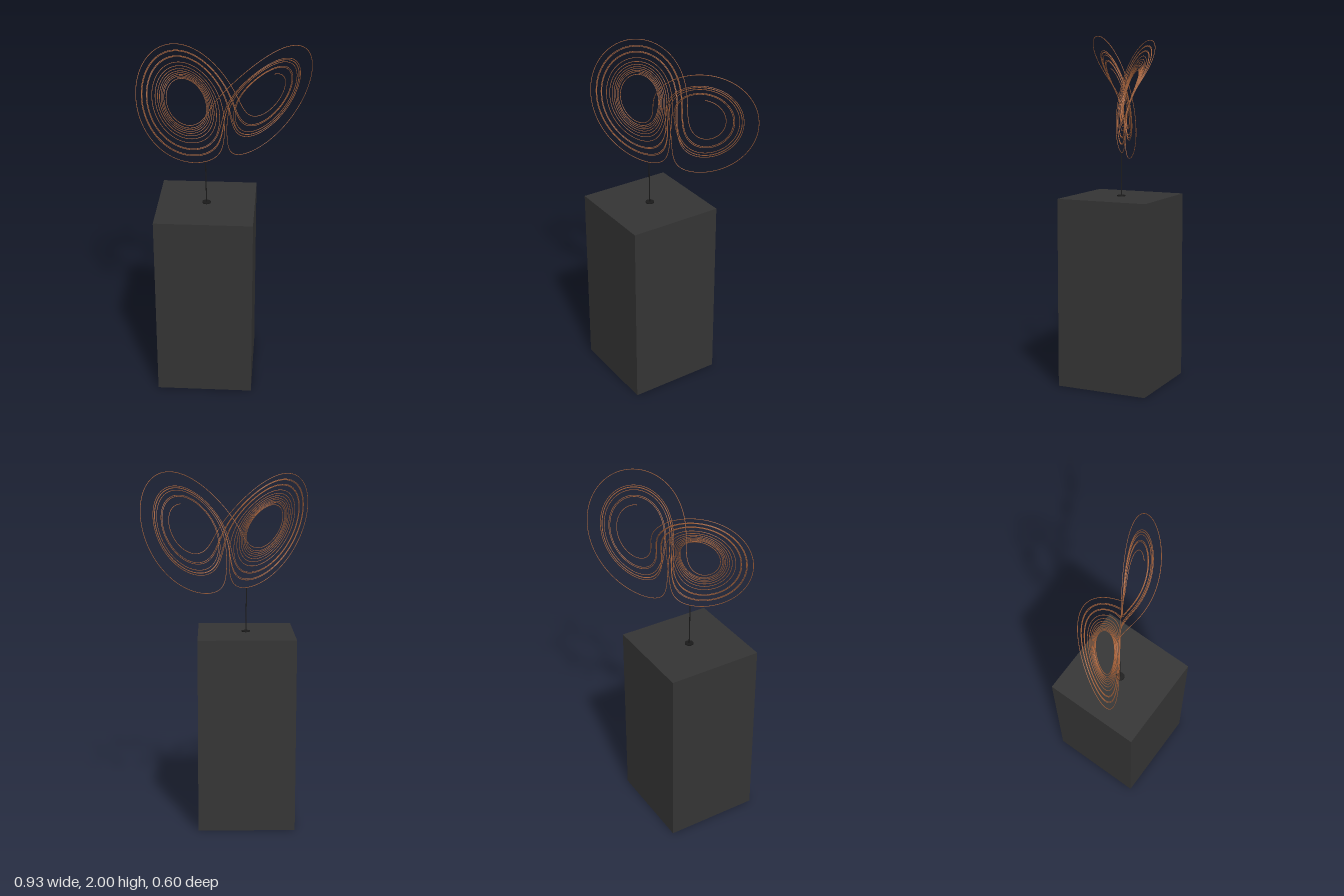
import * as THREE from 'three';

const mat = (name, color, side = THREE.FrontSide) =>
  Object.assign(new THREE.MeshStandardMaterial({ color, side }), { name });

// One Runge-Kutta step of the two-lobed chaotic flow
const DT = 0.01;
const flow = ([x, y, z]) => [10 * (y - x), x * (28 - z) - y, x * y - (8 / 3) * z];
const push = (s, d, t) => [s[0] + d[0] * t, s[1] + d[1] * t, s[2] + d[2] * t];
function step(s) {
  const a = flow(s);
  const b = flow(push(s, a, DT / 2));
  const c = flow(push(s, b, DT / 2));
  const d = flow(push(s, c, DT));
  return s.map((v, i) => v + (DT / 6) * (a[i] + 2 * b[i] + 2 * c[i] + d[i]));
}

// Heights of the loop tops wanted on each lobe, in flow units
const LEFT_TOPS = [33.4, 33.8, 34.3, 34.8, 35.4, 36, 36.7, 37.4, 39.5, 40.3, 41.7, 43.2, 43.6, 44.1];
const RIGHT_TOPS = [35.3, 35.8, 36.6, 37.4, 39.5, 39.8, 39.9, 44.1];

// Follow the flow for a long time and pick the stretch that best has these loops
function findStretch() {
  const tops = [];
  let s = [1, 1, 20], rising = false;
  for (let n = 0; n < 2000000; n++) {
    const next = step(s);
    if (rising && next[2] < s[2] && n > 3000) tops.push({ n, s });
    rising = next[2] > s[2];
    s = next;
  }
  const count = LEFT_TOPS.length + RIGHT_TOPS.length;
  const miss = (heights, wanted) => heights.sort((a, b) => a - b)
    .reduce((sum, h, i) => sum + (h - wanted[i]) ** 2, 0);
  let best = { score: Infinity };
  for (let i = 0; i + count <= tops.length; i++) {
    const loops = tops.slice(i, i + count);
    for (const sign of [1, -1]) {
      const left = loops.filter((t) => t.s[0] * sign < 0).map((t) => t.s[2]);
      if (left.length !== LEFT_TOPS.length) continue;
      const right = loops.filter((t) => t.s[0] * sign > 0).map((t) => t.s[2]);
      const score = miss(left, LEFT_TOPS) + miss(right, RIGHT_TOPS);
      if (score < best.score) best = { score, sign, first: loops[0], last: loops[count - 1] };
    }
  }
  return best;
}

// Points of the wire, turned about the vertical and fitted to its place
function wirePoints() {
  const { sign, first, last } = findStretch();
  const yaw = 0.465, c = Math.cos(yaw), sn = Math.sin(yaw);
  const points = [];
  let s = first.s;
  for (let n = first.n; n <= last.n; n++) {
    const x = s[0] * sign, y = s[1] * sign;
    points.push(new THREE.Vector3(x * c + y * sn, s[2], x * sn - y * c));
    s = step(s);
  }
  const from = new THREE.Box3().setFromPoints(points);
  const to = new THREE.Box3(new THREE.Vector3(-0.464, 1.337, -0.299), new THREE.Vector3(0.464, 1.998, 0.199));
  const scale = to.getSize(new THREE.Vector3()).divide(from.getSize(new THREE.Vector3()));
  points.forEach((p) => p.sub(from.min).multiply(scale).add(to.min));
  return points;
}

export function createModel() {
  const model = new THREE.Group();
  model.name = 'wireSculpture';
  const charcoal = mat('charcoal', 0x343434);
  const black = mat('black', 0x1a1a1a);
  const copper = mat('copper', 0xa8643c);

  const add = (name, geometry, material, x = 0, y = 0, z = 0) => {
    const mesh = new THREE.Mesh(geometry, material);
    mesh.name = name;
    mesh.position.set(x, y, z);
    model.add(mesh);
    return mesh;
  };

  // Plinth and the small foot of the stem
  const cx = -0.108, cz = 0.026, top = 1.095;
  add('plinth', new THREE.BoxGeometry(0.545, top, 0.545), charcoal, cx, top / 2, cz);
  add('stemFoot', new THREE.CylinderGeometry(0.024, 0.024, 0.006, 32), black, cx, top + 0.003, cz);

  // Looping wire
  const points = wirePoints();
  const curve = new THREE.CatmullRomCurve3(points);
  curve.arcLengthDivisions = points.length * 2;
  add('loopingWire', new THREE.TubeGeometry(curve, points.length * 2, 0.0017, 6), copper);

  // Stem from the foot to the lowest point of the left lobe
  const lowest = points.filter((p) => p.x < -0.04).reduce((a, b) => (b.y < a.y ? b : a));
  const line = new THREE.LineCurve3(new THREE.Vector3(cx, top, cz), lowest);
  add('stem', new THREE.TubeGeometry(line, 1, 0.003, 12), black);

  return model;
}
